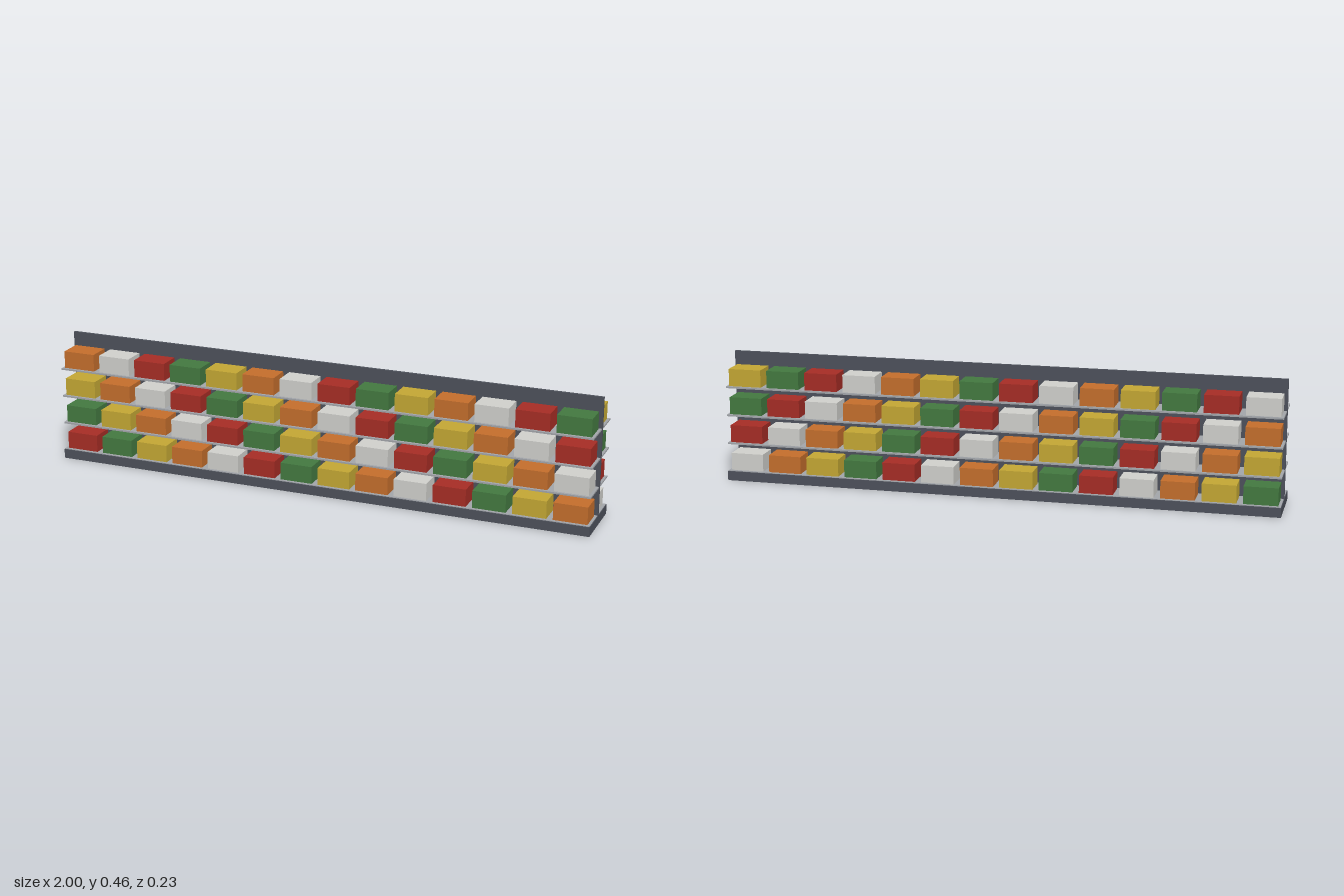
import * as THREE from 'three';

const mat = (name, color) => {
  const m = new THREE.MeshStandardMaterial({ color });
  m.name = name;
  return m;
};

export function createModel() {
  const frame = mat('dark frame', 0x4d515b);
  const steel = mat('shelf grey', 0xa2a5aa);
  const goods = [
    mat('red', 0xa62d25),
    mat('green', 0x437940),
    mat('yellow', 0xc3a734),
    mat('orange', 0xc46e2c),
    mat('off white', 0xd0d0cc),
  ];

  const group = new THREE.Group();
  group.name = 'shopShelving';

  // Box given by size, centre x, bottom y and centre z
  const box = (name, material, w, h, d, x, y, z, parent = group) => {
    const mesh = new THREE.Mesh(new THREE.BoxGeometry(w, h, d), material);
    mesh.name = name;
    mesh.position.set(x, y + h / 2, z);
    parent.add(mesh);
  };

  // Plinth and the upright panel between the two sides
  box('base', frame, 2, 0.034, 0.227, 0, 0, 0);
  box('backPanel', frame, 2, 0.425, 0.01, 0, 0.034, 0);

  // Four tiers, with shelves and a row of goods on each side
  const tiers = 4, columns = 14, pitch = 2 / columns;
  for (let tier = 0; tier < tiers; tier++) {
    const y = 0.0305 + tier * 0.104;
    [1, -1].forEach((side, s) => {
      box('shelf', steel, 1.996, 0.006, 0.105, 0, y, side * 0.0572);
      const row = new THREE.Group();
      row.name = side > 0 ? 'frontGoods' : 'backGoods';
      group.add(row);
      for (let i = 0; i < columns; i++) {
        const x = -1 + (i + 0.5) * pitch;
        box('package', goods[(i + tier + s) % 5], 0.12, 0.063, 0.085, x, y + 0.006, side * 0.0575, row);
      }
    });
  }
  return group;
}
